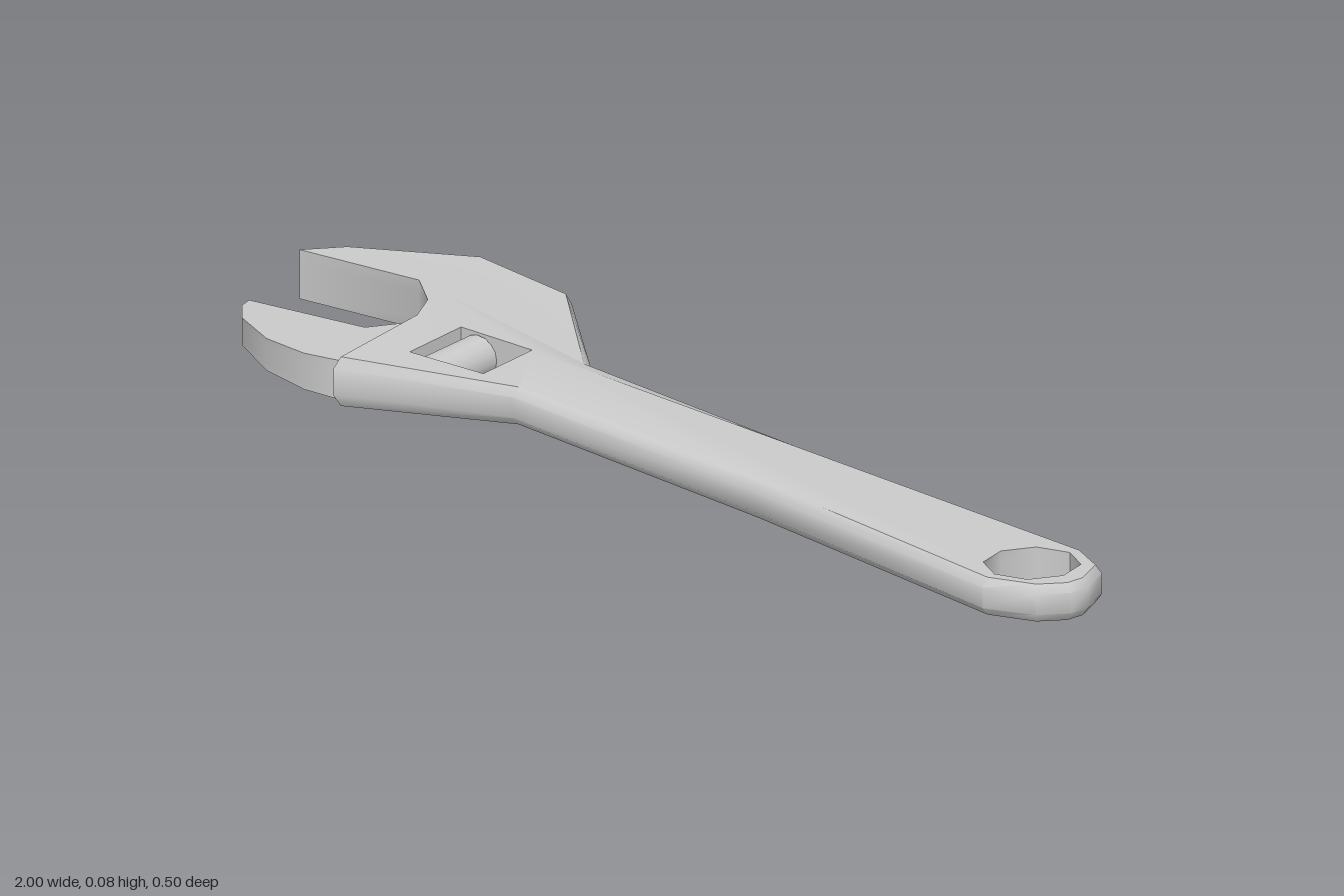
import * as THREE from 'three';
import { toCreasedNormals } from 'three/addons/utils/BufferGeometryUtils.js';

const MID = 0.0415; // height of the tool's middle plane
const { clamp, lerp } = THREE.MathUtils;

// Slab from an outline of [x, z, chamfer] points; half(x) is the half thickness at x.
function slab(outline, holes, half) {
  const toLoop = (pts, ccw) => {
    const loop = pts.map(([x, z, c = 0]) => Object.assign(new THREE.Vector2(x, -z), { c }));
    if (THREE.ShapeUtils.isClockWise(loop) === ccw) loop.reverse();
    return loop;
  };
  const loops = [toLoop(outline, true), ...holes.map(h => toLoop(h, false))];

  // Move each corner inward by its own chamfer
  const inset = loop => loop.map((p, i) => {
    const prev = loop[(i + loop.length - 1) % loop.length];
    const next = loop[(i + 1) % loop.length];
    const d1 = p.clone().sub(prev).normalize();
    const d2 = next.clone().sub(p).normalize();
    const n = new THREE.Vector2(-d1.y - d2.y, d1.x + d2.x).normalize();
    const cos = Math.max(0.5, -n.x * d1.y + n.y * d1.x);
    return p.clone().addScaledVector(n, p.c / cos);
  });
  const inner = loops.map(inset);

  const pos = [];
  const put = (p, t) => pos.push(p.x, MID + t * half(p.x), -p.y);
  const tri = (a, ta, b, tb, c, tc) => { put(a, ta); put(b, tb); put(c, tc); };

  // Walls: chamfer, straight side, chamfer
  loops.forEach((loop, k) => {
    const levels = [[inner[k], -1], [loop, -0.55], [loop, 0.55], [inner[k], 1]];
    for (let l = 0; l < 3; l++) {
      const [lo, t0] = levels[l], [hi, t1] = levels[l + 1];
      for (let i = 0; i < loop.length; i++) {
        const j = (i + 1) % loop.length;
        tri(lo[i], t0, lo[j], t0, hi[j], t1);
        tri(lo[i], t0, hi[j], t1, hi[i], t1);
      }
    }
  });

  // Top and bottom faces
  const flat = inner.flat();
  for (const f of THREE.ShapeUtils.triangulateShape(inner[0], inner.slice(1))) {
    let [a, b, c] = f.map(i => flat[i]);
    if (THREE.ShapeUtils.area([a, b, c]) < 0) [b, c] = [c, b];
    tri(a, 1, b, 1, c, 1);
    tri(a, -1, c, -1, b, -1);
  }

  const geo = new THREE.BufferGeometry();
  geo.setAttribute('position', new THREE.Float32BufferAttribute(pos, 3));
  return toCreasedNormals(geo, 0.8);
}

export function createModel() {
  const group = new THREE.Group();
  const material = new THREE.MeshStandardMaterial({ color: 0xcccccc });
  const add = (name, geometry) => {
    const mesh = new THREE.Mesh(geometry, material);
    mesh.name = name;
    group.add(mesh);
    return mesh;
  };

  // Handle, head and fixed jaw in one piece
  const body = [
    [-1, -0.05], [-0.965, -0.12, 0.004], [-0.79, -0.255, 0.008], [-0.56, -0.245, 0.01],
    [-0.305, -0.07, 0.013], [0.3, -0.07, 0.013], [0.885, -0.09, 0.012], [0.96, -0.06, 0.01],
    [0.997, 0, 0.01], [1, 0.04, 0.01], [0.97, 0.088, 0.01], [0.89, 0.13, 0.012],
    [0.3, 0.107, 0.013], [-0.29, 0.107, 0.013], [-0.57, 0.245, 0.008],
    [-0.64, 0.01], [-0.685, -0.05], [-0.765, -0.1],
  ];
  const window = [[-0.55, -0.005], [-0.405, -0.03], [-0.372, 0.1], [-0.515, 0.132]];
  const hangHole = Array.from({ length: 8 }, (_, i) => {
    const a = i * Math.PI / 4;
    return [0.882 + 0.077 * Math.cos(a), 0.02 + 0.079 * Math.sin(a)];
  });
  add('body', slab(body, [window, hangHole],
    x => lerp(0.0415, 0.0315, clamp((x + 0.55) / 0.25, 0, 1))));

  // Sliding jaw, thinner toward its tip, its back edge set into the head
  const jaw = [
    [-0.912, 0.13], [-0.675, 0.09], [-0.64, 0.012], [-0.62, 0.02], [-0.56, 0.22],
    [-0.575, 0.232], [-0.64, 0.247], [-0.74, 0.24], [-0.85, 0.198], [-0.9, 0.155],
  ];
  add('movableJaw', slab(jaw, [], x => lerp(0.021, 0.033, clamp((x + 0.91) / 0.34, 0, 1))));

  // Adjusting screw lying across the window
  const screw = add('adjustingScrew', new THREE.CylinderGeometry(0.037, 0.037, 0.134, 16));
  screw.position.set(-0.496, MID, 0.057);
  screw.rotation.set(Math.PI / 2, 0, -Math.atan2(0.033, 0.13));

  return group;
}
